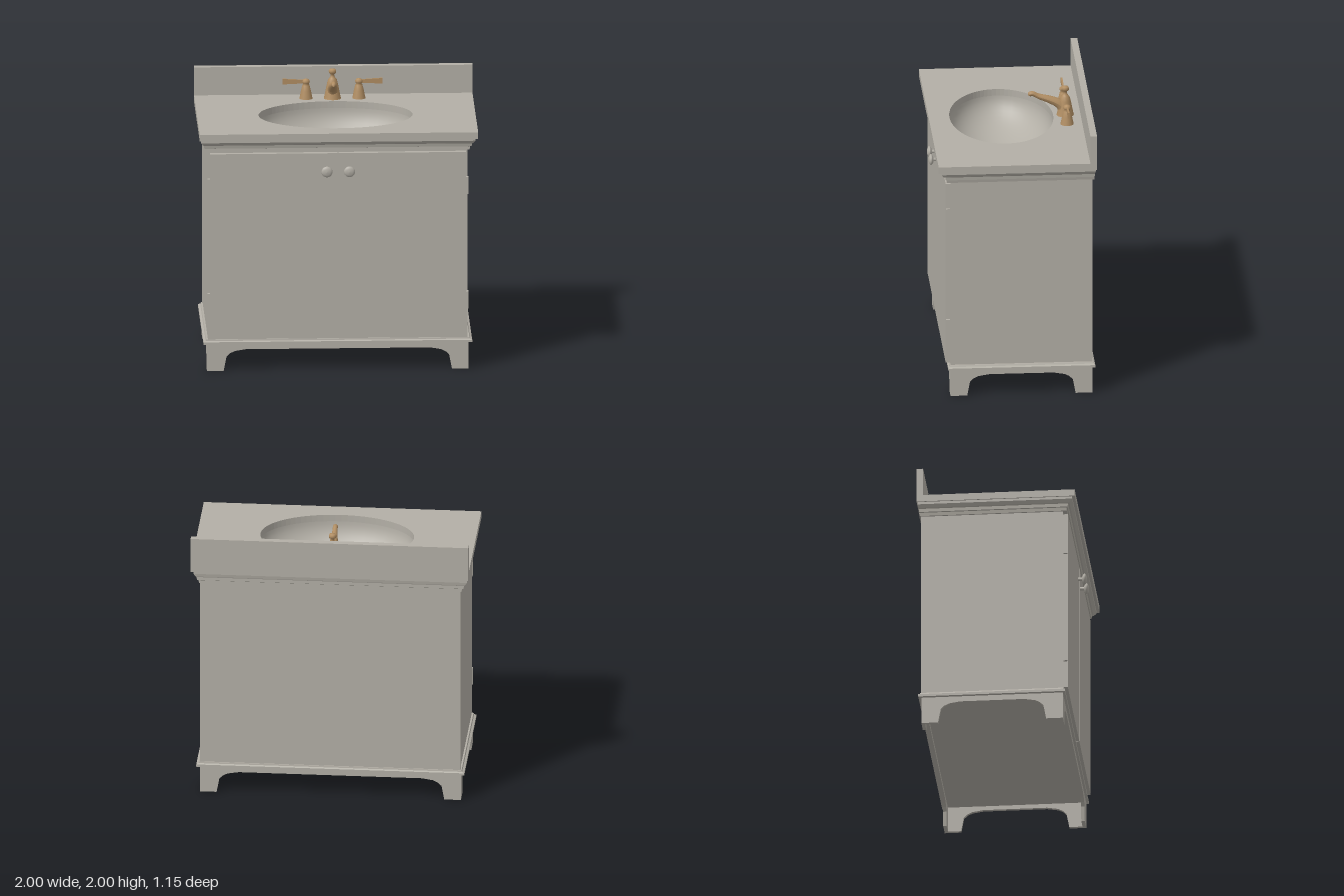
import * as THREE from 'three';

const stone = new THREE.MeshStandardMaterial({ color: 0xb3afa6, side: THREE.DoubleSide });
stone.name = 'warmGrey';
const bronze = new THREE.MeshStandardMaterial({ color: 0xb08d62, side: THREE.DoubleSide });
bronze.name = 'bronze';
const MID = -0.005; // cabinet and faucet centre line

function add(parent, name, geometry, material, x = 0, y = 0, z = 0) {
  const mesh = new THREE.Mesh(geometry, material);
  mesh.name = name;
  mesh.position.set(x, y, z);
  parent.add(mesh);
  return mesh;
}

// Box given by its limits
function slab(parent, name, [x0, x1], [y0, y1], [z0, z1], material = stone) {
  return add(parent, name, new THREE.BoxGeometry(x1 - x0, y1 - y0, z1 - z0), material,
    (x0 + x1) / 2, (y0 + y1) / 2, (z0 + z1) / 2);
}

// Walls through stacked rectangles: [y, half width, front z, back z]
function rectLoft(levels) {
  const pos = [], index = [];
  for (const [y, x, f, b] of levels) pos.push(x, y, f, x, y, b, -x, y, b, -x, y, f);
  for (let i = 0; i < levels.length - 1; i++) {
    for (let k = 0; k < 4; k++) {
      const a = i * 4 + k, b = i * 4 + (k + 1) % 4;
      index.push(a, b, b + 4, a, b + 4, a + 4);
    }
  }
  const g = new THREE.BufferGeometry();
  g.setAttribute('position', new THREE.Float32BufferAttribute(pos, 3));
  g.setIndex(index);
  const flat = g.toNonIndexed();
  flat.computeVertexNormals();
  return flat;
}

// Apron board with a foot at each end, from a to b along its length
function apron(a, b, thickness) {
  const foot = [[0.12, 0], [0.14, 0.105], [0.165, 0.13], [0.2, 0.147], [0.28, 0.16]];
  const pts = [[a, 0.2], [a, 0], ...foot.map(([d, y]) => [a + d, y]),
    ...foot.map(([d, y]) => [b - d, y]).reverse(), [b, 0], [b, 0.2]];
  const shape = new THREE.Shape(pts.map(([x, y]) => new THREE.Vector2(x, y)));
  return new THREE.ExtrudeGeometry(shape, { depth: thickness, bevelEnabled: false });
}

function lathe(points, sides) {
  return new THREE.LatheGeometry(points.map(([r, y]) => new THREE.Vector2(r, y)), sides);
}

function buildCabinet() {
  const g = new THREE.Group();
  g.name = 'cabinet';
  g.position.x = MID;
  add(g, 'cabinetBody', rectLoft([[0.2, 0.933, 0.48, -0.54], [1.65, 0.933, 0.48, -0.54]]), stone);
  slab(g, 'backPanel', [-0.938, 0.938], [0.22, 1.645], [-0.542, -0.518]);
  slab(g, 'cabinetFloor', [-0.93, 0.93], [0.19, 0.21], [-0.53, 0.47]);
  add(g, 'baseMoulding', rectLoft([[0.2, 0.92, 0.47, -0.53], [0.2, 0.965, 0.497, -0.56],
    [0.218, 0.965, 0.497, -0.56], [0.225, 0.95, 0.488, -0.55], [0.236, 0.945, 0.486, -0.548],
    [0.236, 0.93, 0.478, -0.538]]), stone);
  add(g, 'topMoulding', rectLoft([[1.637, 0.93, 0.478, -0.538], [1.637, 0.945, 0.508, -0.554],
    [1.66, 0.95, 0.508, -0.554], [1.662, 0.96, 0.515, -0.556], [1.685, 0.963, 0.52, -0.556],
    [1.69, 0.97, 0.53, -0.558], [1.712, 0.985, 0.55, -0.562], [1.73, 0.985, 0.55, -0.562]]), stone);

  // Aprons and feet
  add(g, 'frontApron', apron(-0.94, 0.94, 0.025), stone, 0, 0, 0.455);
  add(g, 'backApron', apron(-0.94, 0.94, 0.025), stone, 0, 0, -0.54);
  for (const s of [-1, 1]) {
    const side = add(g, 'sideApron', apron(-0.48, 0.54, 0.025), stone, s > 0 ? 0.915 : -0.94);
    side.rotation.y = Math.PI / 2;
  }

  // Doors, hinges and knobs
  const knob = lathe([[0.014, 0], [0.012, 0.03], [0.025, 0.036], [0.037, 0.043], [0.04, 0.05],
    [0.036, 0.058], [0.022, 0.065], [0, 0.067]], 20);
  for (const s of [-1, 1]) {
    slab(g, 'door', s > 0 ? [0.003, 0.92] : [-0.92, -0.003], [0.25, 1.62], [0.478, 0.514]);
    add(g, 'knob', knob, stone, s * 0.081, 1.493, 0.51).rotation.x = Math.PI / 2;
    for (const y of [0.455, 1.305]) {
      slab(g, 'hinge', s > 0 ? [0.915, 0.938] : [-0.938, -0.915], [y, y + 0.128], [0.484, 0.512]);
    }
  }
  return g;
}

function buildTop() {
  const g = new THREE.Group();
  g.name = 'vanityTop';
  // Counter with an oval opening
  const shape = new THREE.Shape([[-1, -0.57], [1, -0.57], [1, 0.57], [-1, 0.57]]
    .map(([x, y]) => new THREE.Vector2(x, y)));
  shape.holes.push(new THREE.Path().absellipse(MID, -0.048, 0.553, 0.373, 0, Math.PI * 2, true));
  const counter = new THREE.ExtrudeGeometry(shape, { depth: 0.05, bevelEnabled: false, curveSegments: 40 });
  add(g, 'counter', counter.rotateX(-Math.PI / 2), stone, 0, 1.73, 0);
  slab(g, 'backsplash', [-1, 1], [1.775, 1.988], [-0.57, -0.522]);

  // Basin and drain stopper
  const arc = [];
  for (let i = 0; i <= 16; i++) {
    const a = (i / 16) * Math.PI / 2;
    arc.push([Math.cos(a), -Math.sin(a)]);
  }
  add(g, 'basin', lathe(arc, 40), stone, MID, 1.735, 0.048).scale.set(0.556, 0.28, 0.376);
  add(g, 'drainStopper', new THREE.SphereGeometry(0.052, 20, 12), stone, -0.01, 1.46, 0.015).scale.y = 0.5;
  return g;
}

function buildFaucet() {
  const g = new THREE.Group();
  g.name = 'faucet';
  g.position.set(-0.01, 1.778, -0.412);

  // Centre column with finial
  add(g, 'faucetColumn', lathe([[0.064, 0], [0.06, 0.012], [0.05, 0.06], [0.04, 0.11], [0.032, 0.14],
    [0.022, 0.152], [0.014, 0.165], [0.013, 0.18], [0.026, 0.19], [0.028, 0.205], [0.022, 0.217], [0, 0.221]], 14), bronze);

  // Tapered spout
  const path = new THREE.CatmullRomCurve3([[0.03, 0], [0.085, 0.04], [0.12, 0.11], [0.147, 0.19],
    [0.17, 0.24], [0.155, 0.267]].map(([y, z]) => new THREE.Vector3(0, y, z)));
  const rings = 28, sides = 12;
  const spout = new THREE.TubeGeometry(path, rings, 1, sides);
  const p = spout.attributes.position, v = new THREE.Vector3();
  for (let i = 0; i < p.count; i++) {
    const t = Math.floor(i / (sides + 1)) / rings, c = path.getPointAt(t);
    const r = t === 1 ? 0 : 0.042 - 0.024 * Math.min(1, t * 1.25);
    v.fromBufferAttribute(p, i).sub(c).multiplyScalar(r).add(c);
    p.setXYZ(i, v.x, v.y, v.z);
  }
  spout.computeVertexNormals();
  add(g, 'spout', spout, bronze);

  // Side handles with flat flared levers
  const post = lathe([[0.049, 0], [0.046, 0.012], [0.036, 0.06], [0.026, 0.1], [0.018, 0.108],
    [0.026, 0.118], [0.028, 0.13], [0.02, 0.143], [0, 0.15]], 14);
  const blade = new THREE.Shape([[0, 0.115], [0.17, 0.108], [0.17, 0.149], [0, 0.138]]
    .map(([x, y]) => new THREE.Vector2(x, y)));
  const lever = new THREE.ExtrudeGeometry(blade, { depth: 0.012, bevelEnabled: false });
  for (const s of [-1, 1]) {
    const handle = new THREE.Group();
    handle.name = s > 0 ? 'leftHandle' : 'rightHandle';
    handle.position.x = s * 0.19;
    handle.rotation.y = s > 0 ? 0 : Math.PI;
    add(handle, 'handlePost', post, bronze);
    add(handle, 'handleLever', lever, bronze, 0, 0, -0.006);
    g.add(handle);
  }
  return g;
}

export function createModel() {
  const model = new THREE.Group();
  model.name = 'bathroomVanity';
  model.add(buildCabinet(), buildTop(), buildFaucet());
  return model;
}
